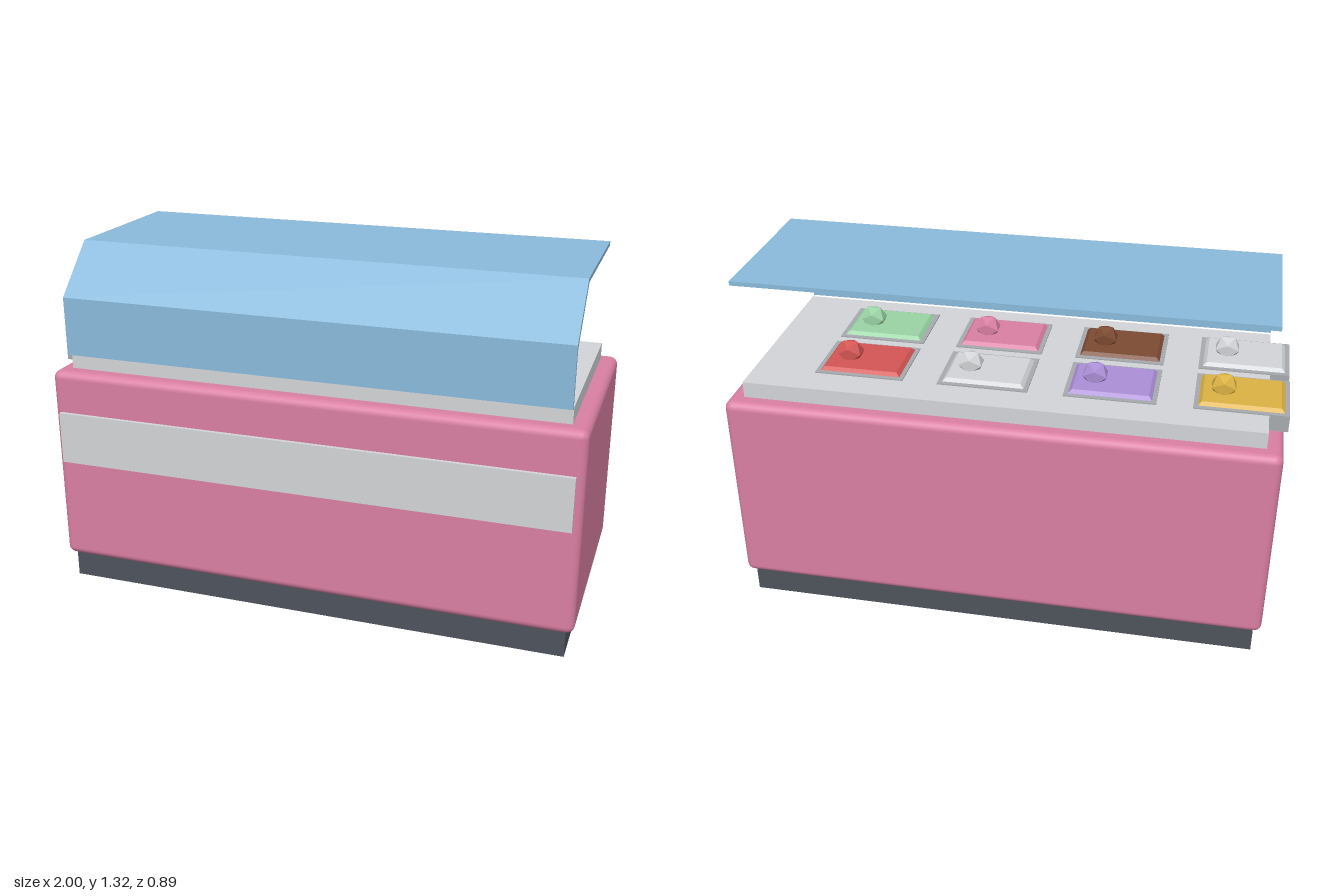
import * as THREE from 'three';
import { RoundedBoxGeometry } from 'three/addons/geometries/RoundedBoxGeometry.js';

export function createModel() {
  const model = new THREE.Group();
  model.name = 'displayCounter';

  const mat = (name, color) => {
    const m = new THREE.MeshStandardMaterial({ color });
    m.name = name;
    return m;
  };
  const pink = mat('pink', 0xd97fa2);
  const lightGrey = mat('lightGrey', 0xd2d4d7);
  const midGrey = mat('midGrey', 0xa6aaae);
  const dark = mat('darkGrey', 0x4e535c);
  const blue = mat('glassBlue', 0x8abadb);
  const red = mat('red', 0xd45654);
  const green = mat('green', 0x9ad3a5);
  const purple = mat('purple', 0xab8ed6);
  const gold = mat('gold', 0xdcb244);
  const brown = mat('brown', 0x7c4a32);

  const add = (parent, name, geometry, material, x = 0, y = 0, z = 0) => {
    const mesh = new THREE.Mesh(geometry, material);
    mesh.name = name;
    mesh.position.set(x, y, z);
    parent.add(mesh);
    return mesh;
  };
  // Box given by its minimum and maximum corners
  const addBox = (parent, name, material, [x0, y0, z0], [x1, y1, z1]) =>
    add(parent, name, new THREE.BoxGeometry(x1 - x0, y1 - y0, z1 - z0), material,
      (x0 + x1) / 2, (y0 + y1) / 2, (z0 + z1) / 2);

  // Cabinet
  addBox(model, 'plinth', dark, [-0.96, 0, -0.412], [0.968, 0.11, 0.4]);
  add(model, 'cabinetBody', new RoundedBoxGeometry(1.986, 0.757, 0.872, 4, 0.03), pink, 0.005, 0.481, -0.006);
  addBox(model, 'frontBand', lightGrey, [-0.96, 0.502, 0.42], [0.968, 0.7, 0.445]);
  addBox(model, 'counterTop', lightGrey, [-0.93, 0.85, -0.384], [0.937, 0.92, 0.37]);

  // Bent glass guard, drawn in side profile (-z, y) and extruded along x
  const profile = [[-0.4, 0.92], [-0.4, 1.139], [-0.221, 1.316], [0.384, 1.316],
    [0.384, 1.3], [-0.205, 1.3], [-0.384, 1.121], [-0.384, 0.92]];
  const guard = new THREE.ExtrudeGeometry(
    new THREE.Shape(profile.map(([s, y]) => new THREE.Vector2(s, y))),
    { depth: 1.867, bevelEnabled: false });
  guard.rotateY(Math.PI / 2);
  add(model, 'glassGuard', guard, blue, -0.93, 0, 0);

  // Filling plate: a box with its top drawn in to slope the sides
  const filling = new THREE.BoxGeometry(0.3, 0.014, 0.222).toNonIndexed();
  const p = filling.attributes.position;
  for (let i = 0; i < p.count; i++) {
    if (p.getY(i) > 0) p.setXYZ(i, p.getX(i) * 0.91, p.getY(i), p.getZ(i) * 0.9);
  }
  filling.computeVertexNormals();
  const tubGeometry = new THREE.BoxGeometry(0.33, 0.062, 0.256);
  const scoopGeometry = new THREE.IcosahedronGeometry(0.05, 0);

  // Two rows of four tubs, from -x to +x
  const rows = [
    { z: 0.161, fills: [lightGrey, brown, pink, green] },
    { z: -0.137, fills: [gold, purple, lightGrey, red] },
  ];
  for (const { z, fills } of rows) {
    fills.forEach((material, i) => {
      const tub = new THREE.Group();
      tub.name = 'tub';
      tub.position.set(-0.835 + i * 0.458, 0, z);
      add(tub, 'tubRim', tubGeometry, midGrey, 0, 0.893, 0);
      add(tub, 'filling', filling, material, 0, 0.93, 0);
      add(tub, 'scoop', scoopGeometry, material, 0.066, 0.953, 0);
      model.add(tub);
    });
  }
  return model;
}
